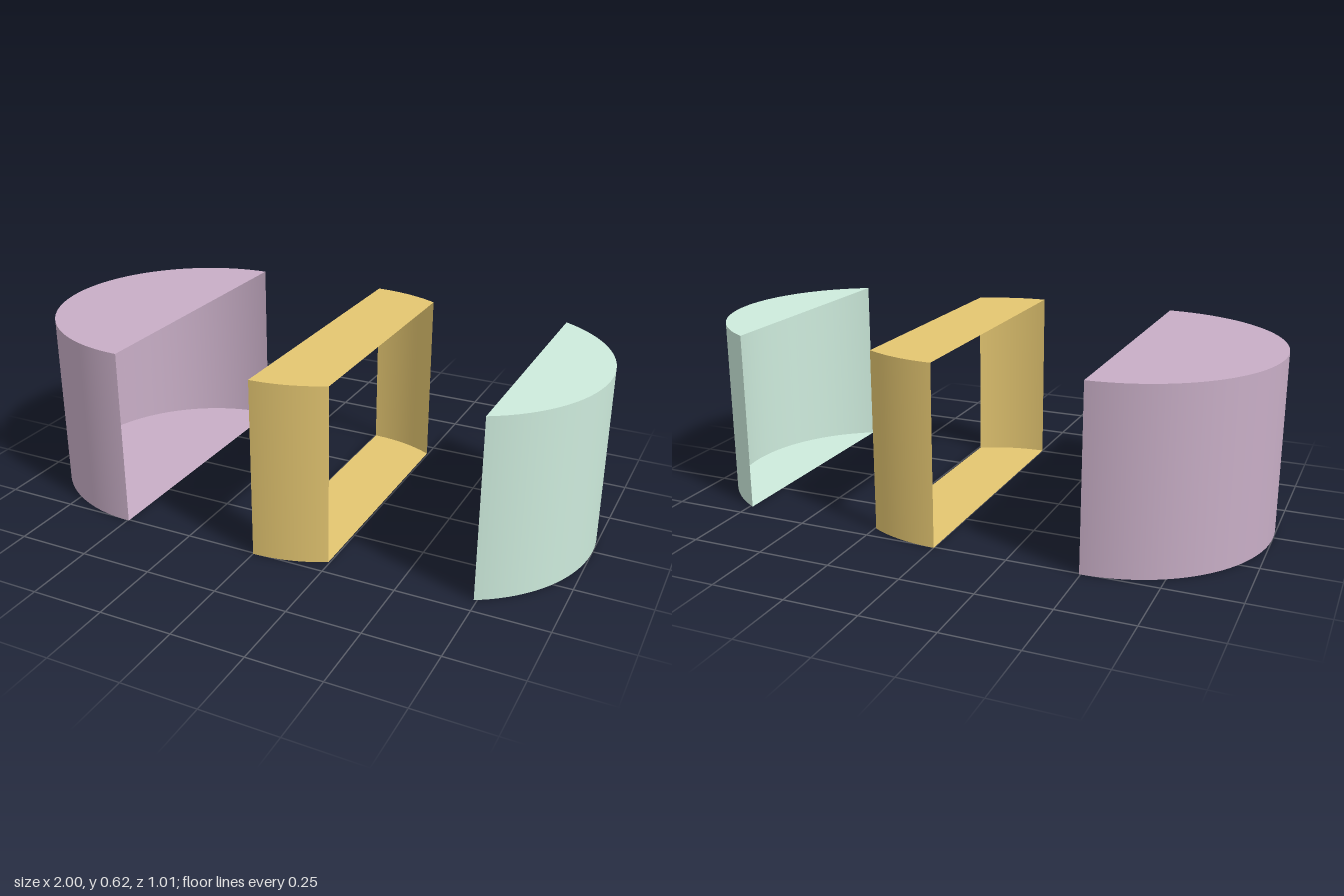
import * as THREE from 'three';

const R = 0.505, H = 0.62, CUT = 0.245, OFFSET = 0.495;

// Hollow slice of a closed drum between local x = a and x = b, open at the cuts
function slice(name, a, b, centerX, color) {
  const group = new THREE.Group();
  group.name = name;
  group.position.x = centerX;
  const material = new THREE.MeshStandardMaterial({ color, side: THREE.DoubleSide });
  const add = (part, geometry) => {
    const mesh = new THREE.Mesh(geometry, material);
    mesh.name = part;
    group.add(mesh);
  };
  const t0 = Math.asin(a / R), t1 = Math.asin(b / R), span = t1 - t0;
  const segments = Math.max(12, Math.round(span * 32));

  // Curved walls, front and back
  for (const [part, start] of [['frontWall', t0], ['backWall', Math.PI - t1]]) {
    add(part, new THREE.CylinderGeometry(R, R, H, segments, 1, true, start, span).translate(0, H / 2, 0));
  }

  // Flat lids share one outline
  const near = [], far = [];
  for (let i = 0; i <= segments; i++) {
    const t = t0 + (span * i) / segments;
    near.push(new THREE.Vector2(R * Math.sin(t), -R * Math.cos(t)));
    far.unshift(new THREE.Vector2(R * Math.sin(t), R * Math.cos(t)));
  }
  // Drop the duplicate point where the two arcs meet
  if (b >= R) far.shift();
  if (a <= -R) far.pop();
  const outline = new THREE.Shape([...near, ...far]);
  add('topLid', new THREE.ShapeGeometry(outline).rotateX(-Math.PI / 2).translate(0, H, 0));
  add('bottomLid', new THREE.ShapeGeometry(outline).rotateX(Math.PI / 2));
  return group;
}

export function createModel() {
  const model = new THREE.Group();
  model.name = 'slicedDrum';
  model.add(
    slice('halfSlice', -R, 0, -OFFSET, 0xc8aec6),
    slice('middleSlice', 0, CUT, 0, 0xe4c671),
    slice('endSlice', CUT, R, OFFSET, 0xcdebdc),
  );
  return model;
}
